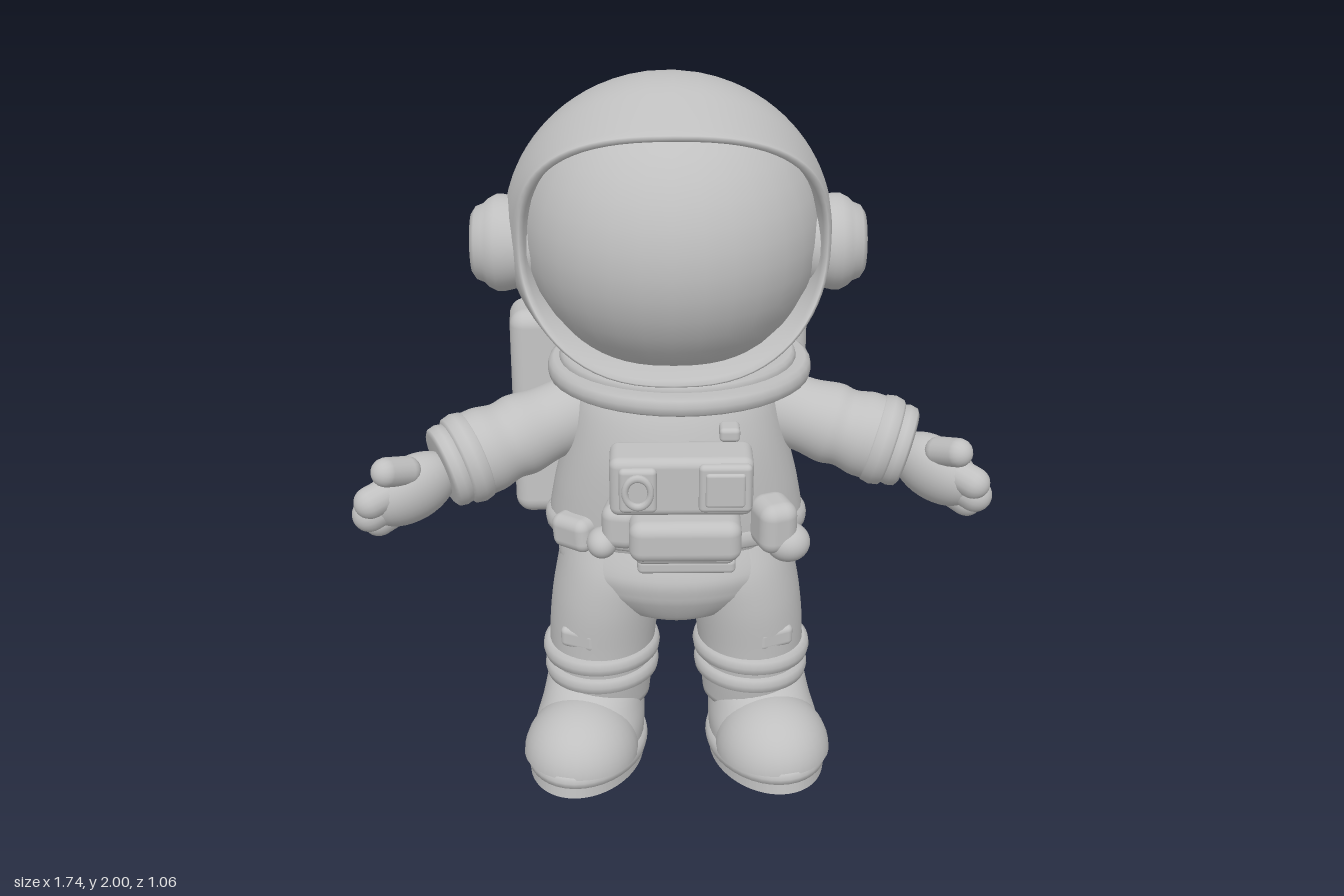
import * as THREE from 'three';
import { RoundedBoxGeometry } from 'three/addons/geometries/RoundedBoxGeometry.js';

const V = (x, y, z) => new THREE.Vector3(x, y, z);

export function createModel() {
  const root = new THREE.Group();
  root.name = 'astronaut';
  const suit = new THREE.MeshStandardMaterial({ color: 0xc0c0c0 });
  suit.name = 'suit grey';

  const add = (name, geo, pos = [0, 0, 0], rot = [0, 0, 0], parent = root) => {
    const m = new THREE.Mesh(geo, suit);
    m.name = name;
    m.position.set(...pos);
    m.rotation.set(...rot);
    parent.add(m);
    return m;
  };
  const box = (w, h, d, r = 0.02) => new RoundedBoxGeometry(w, h, d, 4, r);
  const ball = (x, y, z) => new THREE.SphereGeometry(1, 32, 20).scale(x, y, z);

  // Surface from a grid of points, closed around each ring
  const gridSurface = (rows) => {
    const n = rows[0].length, idx = [];
    for (let i = 0; i < rows.length - 1; i++) for (let j = 0; j < n; j++) {
      const a = i * n + j, b = i * n + (j + 1) % n;
      idx.push(a, a + n, b, b, a + n, b + n);
    }
    const g = new THREE.BufferGeometry().setFromPoints(rows.flat());
    g.setIndex(idx);
    g.computeVertexNormals();
    return g;
  };

  // Smooth vertical loft through rings [cx, y, cz, rx, rz], ends closed
  const loft = (rings, steps = 6) => {
    const first = rings[0], last = rings[rings.length - 1];
    const path = new THREE.CatmullRomCurve3(rings.map(r => V(r[0], r[1], r[2])));
    const size = new THREE.CatmullRomCurve3(rings.map(r => V(r[3], r[4], 0)));
    const ring = (c, rx, rz) => Array.from({ length: 40 }, (_, j) => {
      const a = j / 40 * Math.PI * 2;
      return V(c.x + rx * Math.cos(a), c.y, c.z + rz * Math.sin(a));
    });
    const n = (rings.length - 1) * steps, rows = [];
    rows.push(ring(V(...first), 0.001, 0.001));
    for (let i = 0; i <= n; i++) {
      const s = size.getPoint(i / n);
      rows.push(ring(path.getPoint(i / n), s.x, s.y));
    }
    rows.push(ring(V(...last), 0.001, 0.001));
    return gridSurface(rows);
  };

  // Rounded ring band around y
  const band = (r, h, inner) => new THREE.LatheGeometry([
    [inner, -h], [r - h * 0.6, -h], [r - h * 0.15, -h * 0.7], [r, 0],
    [r - h * 0.15, h * 0.7], [r - h * 0.6, h], [inner, h],
  ].map(p => new THREE.Vector2(...p)), 40);

  // Helmet: ellipsoid with a flared, rounded-rectangle face opening
  const C = V(-0.02, 1.58, -0.012), R = V(0.445, 0.42, 0.425);
  const pw = (v, e) => Math.sign(v) * Math.abs(v) ** e;
  const N = 72, M = 36, rows = [];
  for (let i = -3; i <= M; i++) {
    const row = [];
    for (let j = 0; j < N; j++) {
      const a = j / N * Math.PI * 2, s = Math.sin(a);
      const rim = V(-0.008 + 0.41 * pw(Math.cos(a), 0.8), 1.607 + 0.317 * pw(s, 0.8),
        0.185 + (s > 0 ? 0.115 : 0.21) * s * s);
      if (i < 0) {
        // inner lip rolling back to the visor
        const k = [0, 0.98, 0.95, 0.92][-i], dz = [0, 0.006, -0.004, -0.08][-i];
        row.push(V(rim.x * k, 1.607 + (rim.y - 1.607) * k, rim.z + dz));
        continue;
      }
      const u = rim.clone().sub(C).divide(R).normalize();
      const flare = rim.clone().sub(C).sub(u.clone().multiply(R));
      const t = i / M, phi0 = Math.acos(u.z), phi = phi0 + (Math.PI - 0.002 - phi0) * t;
      const d = Math.atan2(u.y, u.x), f = Math.max(0, 1 - t * 5) ** 2;
      row.push(V(Math.sin(phi) * Math.cos(d), Math.sin(phi) * Math.sin(d), Math.cos(phi))
        .multiply(R).add(C).addScaledVector(flare, f));
    }
    rows.push(row);
  }
  add('helmet', gridSurface(rows));
  add('visor', ball(0.41, 0.393, 0.418), [-0.012, 1.588, -0.008]);

  // Ear pods with dished centres
  const pod = new THREE.LatheGeometry([[0.112, -0.09], [0.122, -0.02], [0.13, 0.015], [0.13, 0.035], [0.118, 0.058],
    [0.106, 0.07], [0.098, 0.09], [0.08, 0.102], [0.06, 0.098], [0.045, 0.075], [0, 0.07]]
    .map(p => new THREE.Vector2(...p)), 40);
  for (const s of [-1, 1]) add('earPod', pod, [-0.02 + s * 0.425, 1.56, 0.045], [0, 0, -s * Math.PI / 2]);

  // Collar, jacket, belt and hips
  add('collar', band(0.368, 0.028, 0.2).scale(1, 1, 0.96), [0.01, 1.2, 0.035], [-0.07, 0, 0]);
  add('neckRing', band(0.33, 0.02, 0.2).scale(1, 1, 0.95), [0.005, 1.228, 0.03], [-0.07, 0, 0]);
  add('jacket', loft([[0, 0.72, 0.1, 0.345, 0.225], [0, 0.77, 0.1, 0.362, 0.24], [0, 0.88, 0.1, 0.345, 0.245],
    [0, 1.02, 0.095, 0.31, 0.245], [0, 1.13, 0.075, 0.285, 0.235], [0.005, 1.22, 0.04, 0.25, 0.225]]));
  add('belt', band(0.376, 0.03, 0.2).scale(1, 1, 0.66), [0, 0.76, 0.1], [-0.12, 0, 0]);
  add('hips', loft([[0, 0.49, 0.16, 0.07, 0.1], [0, 0.53, 0.16, 0.2, 0.16], [0, 0.61, 0.15, 0.31, 0.21],
    [0, 0.68, 0.135, 0.34, 0.228], [0, 0.78, 0.1, 0.33, 0.22]]));

  // Chest control unit
  add('chestUnit', box(0.38, 0.17, 0.13, 0.025), [0.01, 1.015, 0.375]);
  add('dialPlate', box(0.1, 0.13, 0.03, 0.014), [-0.105, 1.015, 0.44]);
  add('dialRing', new THREE.TorusGeometry(0.034, 0.009, 10, 28).scale(1, 1.25, 1), [-0.105, 1.015, 0.456]);
  add('screenPlate', box(0.14, 0.14, 0.03, 0.014), [0.125, 1.02, 0.44]);
  add('screen', box(0.105, 0.1, 0.02, 0.009), [0.125, 1.02, 0.452]);
  add('chestButton', box(0.055, 0.04, 0.06, 0.012), [0.14, 1.12, 0.31]);

  // Belt gear
  add('centrePouch', box(0.3, 0.12, 0.16, 0.035), [0.02, 0.865, 0.4]);
  add('pouchFlap', box(0.27, 0.05, 0.11, 0.02), [0.02, 0.79, 0.36]);
  add('buckle', box(0.27, 0.045, 0.06, 0.015), [0.025, 0.735, 0.345]);
  add('sidePouch', box(0.11, 0.15, 0.13, 0.04), [0.265, 0.84, 0.31], [0, 0.35, 0]);
  add('pouchKnob', ball(0.062, 0.055, 0.06), [0.305, 0.785, 0.32]);
  add('sidePouch', box(0.1, 0.13, 0.12, 0.035), [-0.15, 0.865, 0.34], [0, -0.2, 0]);
  add('beltKnob', ball(0.042, 0.042, 0.05), [-0.205, 0.81, 0.36]);
  add('hipPouch', box(0.13, 0.1, 0.09, 0.03), [-0.28, 0.785, 0.25], [0, -0.7, 0.1]);

  // Legs and boots
  const sole = (from, to) => {
    const s = new THREE.Shape();
    s.absellipse(0, 0.115, 0.16, 0.25, from, to, false);
    return new THREE.ExtrudeGeometry(s, { depth: 0.035, bevelEnabled: false, curveSegments: 32 })
      .rotateX(Math.PI / 2).translate(0, 0.035, 0);
  };
  // Half dome over the toes
  const toeDome = new THREE.SphereGeometry(1, 32, 12, 0, Math.PI * 2, 0, Math.PI / 2).scale(0.165, 0.155, 0.18);
  for (const s of [-1, 1]) {
    add('leg', loft([[s * 0.22, 0.2, 0.17, 0.14, 0.14], [s * 0.22, 0.3, 0.17, 0.15, 0.155],
      [s * 0.215, 0.42, 0.17, 0.155, 0.16], [s * 0.2, 0.55, 0.16, 0.158, 0.175],
      [s * 0.18, 0.66, 0.14, 0.158, 0.185], [s * 0.17, 0.76, 0.11, 0.15, 0.18]]));
    for (const [y, r] of [[0.3, 0.168], [0.365, 0.172]])
      add('legBand', band(r, 0.028, 0.1), [s * 0.22, y, 0.172], [-0.04, 0, -s * 0.04]);
    add('legPocket', box(0.11, 0.065, 0.06, 0.018), [s * 0.275, 0.455, 0.285], [0, s * 0.4, 0]);

    const boot = new THREE.Group();
    boot.name = 'boot';
    boot.position.set(s * 0.24, 0.022, s > 0 ? 0.165 : 0.175);
    boot.rotation.set(-0.13, s * 0.22, 0, 'YXZ');
    root.add(boot);
    add('toeSole', sole(-0.3, Math.PI + 0.3), undefined, undefined, boot);
    add('heelSole', sole(Math.PI + 0.42, Math.PI * 2 - 0.42), undefined, undefined, boot);
    add('soleRim', band(0.172, 0.025, 0.001).scale(1, 1, 1.5), [0, 0.05, 0.115], undefined, boot);
    add('bootBody', loft([[0, 0.04, 0.105, 0.158, 0.235], [0, 0.1, 0.095, 0.158, 0.225],
      [0, 0.17, 0.05, 0.148, 0.185], [0, 0.26, 0, 0.142, 0.14]]), undefined, undefined, boot);
    add('toeCap', toeDome, [0, 0.06, 0.188], undefined, boot);
    add('ankleBand', band(0.15, 0.018, 0.1), [0, 0.215, 0], [0.13, 0, 0], boot);
  }

  // Arms: sleeve, cuff and gloved hand along a shared local y axis
  const along = (name, from, to) => {
    const g = new THREE.Group(), y = to.clone().sub(from).normalize();
    const x = V(0, 1, 0).addScaledVector(y, -y.y).normalize();
    g.name = name;
    g.quaternion.setFromRotationMatrix(new THREE.Matrix4().makeBasis(x, y, x.clone().cross(y)));
    g.position.copy(from);
    root.add(g);
    return [g, from.distanceTo(to)];
  };
  const arm = (shoulder, wrist, tip) => {
    const [g, L] = along('arm', shoulder, wrist);
    add('sleeve', loft([[0, -0.06, 0, 0.06, 0.06], [0, 0, 0, 0.105, 0.1], [0, L * 0.3, 0, 0.105, 0.105],
      [0, L * 0.5, 0, 0.116, 0.115], [0, L * 0.6, 0, 0.11, 0.112], [0, L * 0.75, 0, 0.122, 0.12],
      [0, L * 0.92, 0, 0.12, 0.118]]), undefined, undefined, g);
    add('cuff', band(0.13, 0.036, 0.05), [0, L * 0.88, 0], undefined, g);
    add('cuffEdge', band(0.118, 0.028, 0.001), [0, L, 0], undefined, g);

    // hand rolled so the thumb leans forward
    const [h, H] = along('hand', wrist, tip);
    h.rotateY(Math.sign(tip.x) * 0.4);
    const finger = (name, x, y, len, r, tilt) =>
      add(name, new THREE.CapsuleGeometry(r, len, 8, 16), [x, y, 0], [0, 0, tilt], h);
    add('palm', ball(0.1, 0.135, 0.082), [-0.005, H * 0.42, 0], undefined, h);
    finger('finger', 0.036, H * 0.66, 0.1, 0.045, -0.05);
    finger('finger', -0.01, H * 0.68, 0.11, 0.048, 0);
    finger('finger', -0.054, H * 0.63, 0.1, 0.045, 0.05);
    finger('thumb', 0.105, H * 0.52, 0.07, 0.04, -0.65);
  };
  arm(V(0.25, 1.085, 0.05), V(0.625, 0.985, 0.13), V(0.85, 0.9, 0.3));
  arm(V(-0.25, 1.08, 0.06), V(-0.62, 0.985, 0.235), V(-0.86, 0.9, 0.385));

  // Backpack: inner frame, main case with a peaked back, and a corner block
  const pack = new THREE.Group();
  pack.name = 'backpack';
  pack.position.set(-0.05, 0.885, -0.375);
  pack.rotation.set(-0.08, 0.075, 0);
  root.add(pack);
  add('packFrame', box(0.62, 0.6, 0.2, 0.03), [0.05, 0, 0.135], undefined, pack);
  add('packCase', box(0.84, 0.66, 0.205, 0.05), [-0.03, 0, 0], undefined, pack);
  add('packBackPeak', new THREE.ConeGeometry(Math.SQRT1_2, 0.03, 4, 1, true).toNonIndexed()
    .rotateY(Math.PI / 4).rotateX(-Math.PI / 2).scale(0.77, 0.6, 1), [-0.03, 0, -0.115], undefined, pack);
  add('packCornerBlock', box(0.18, 0.28, 0.21, 0.04), [0.36, 0.193, 0.002], undefined, pack);

  return root;
}
